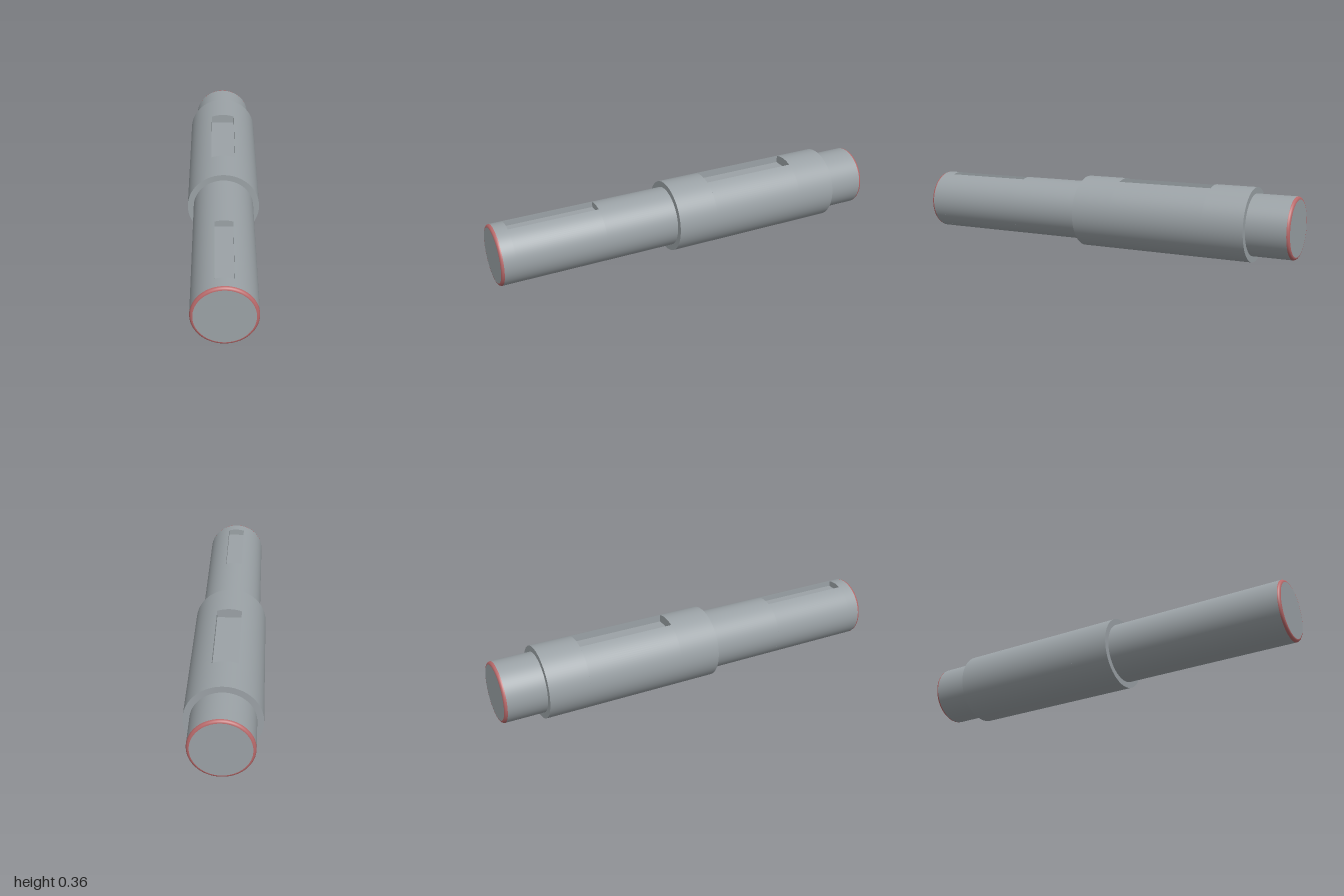
import * as THREE from 'three';

const steel = new THREE.MeshStandardMaterial({ color: 0x9ba2a6 });
steel.name = 'steel grey';
const red = new THREE.MeshStandardMaterial({ color: 0xb8696a });
red.name = 'edge red';

const SEG = 96, AXIS = 0.179, R_BIG = 0.179, R_SMALL = 0.149, FILLET = 0.0135;
const SHOULDER_FRONT = 0.103, SHOULDER_BACK = -0.792;

export function createModel() {
  const model = new THREE.Group();
  model.name = 'steppedShaft';
  const shaft = new THREE.Group();
  shaft.name = 'shaft';
  shaft.position.y = AXIS; // everything below is built around the shaft axis
  model.add(shaft);

  const add = (name, geometry, material = steel, parent = shaft) => {
    const mesh = new THREE.Mesh(geometry, material);
    mesh.name = name;
    parent.add(mesh);
    return mesh;
  };

  // Open tube wall along z, with an optional gap at the top of half-angle gap
  const wall = (name, r, z0, z1, gap = 0) => {
    const g = new THREE.CylinderGeometry(r, r, z1 - z0, SEG, 1, true, Math.PI + gap, 2 * Math.PI - 2 * gap);
    g.rotateX(Math.PI / 2).translate(0, 0, (z0 + z1) / 2);
    add(name, g);
  };

  // Shaft section from z0 to z1 with a square-ended keyway cut into its top
  const keyedSection = (name, r, z0, z1, k0, k1, half, floorY) => {
    const gap = Math.asin(half / r);
    const edgeY = r * Math.cos(gap);
    const length = k1 - k0, mid = (k0 + k1) / 2, depth = edgeY - floorY;
    wall(name + 'Back', r, z0, k0);
    wall(name + 'Middle', r, k0, k1, gap);
    wall(name + 'Front', r, k1, z1);

    const slot = new THREE.Group();
    slot.name = name + 'Keyway';
    shaft.add(slot);
    add('keywayFloor', new THREE.PlaneGeometry(half * 2, length).rotateX(-Math.PI / 2)
      .translate(0, floorY, mid), steel, slot);
    for (const s of [-1, 1]) {
      add('keywaySide', new THREE.PlaneGeometry(length, depth).rotateY(-s * Math.PI / 2)
        .translate(s * half, floorY + depth / 2, mid), steel, slot);
      // end wall: rectangle topped by the shaft's arc
      const shape = new THREE.Shape();
      shape.moveTo(-half, floorY);
      shape.lineTo(half, floorY);
      shape.lineTo(half, edgeY);
      shape.absarc(0, 0, r, Math.PI / 2 - gap, Math.PI / 2 + gap, false);
      shape.closePath();
      const g = new THREE.ShapeGeometry(shape, 16);
      if (s > 0) g.rotateY(Math.PI);
      add('keywayEnd', g.translate(0, 0, s > 0 ? k1 : k0), steel, slot);
    }
  };

  // Three shaft sections
  keyedSection('frontJournal', R_SMALL, SHOULDER_FRONT, 1 - FILLET, 0.476, 0.926, 0.043, 0.116);
  keyedSection('mainBody', R_BIG, SHOULDER_BACK, SHOULDER_FRONT, -0.587, -0.104, 0.061, 0.133);
  wall('rearJournal', R_SMALL, -1 + FILLET, SHOULDER_BACK);

  // Shoulder faces, end faces and rounded end edges
  const profile = [];
  for (let i = 0; i <= 6; i++) {
    const a = (i / 6) * Math.PI / 2;
    profile.push(new THREE.Vector2(R_SMALL - FILLET + FILLET * Math.cos(a), 1 - FILLET + FILLET * Math.sin(a)));
  }
  for (const [side, turn, shoulderZ] of [['front', 0, SHOULDER_FRONT], ['rear', Math.PI, -SHOULDER_BACK]]) {
    add(side + 'Shoulder', new THREE.RingGeometry(R_SMALL, R_BIG, SEG).translate(0, 0, shoulderZ).rotateY(turn));
    add(side + 'EndFace', new THREE.CircleGeometry(R_SMALL - FILLET, SEG).translate(0, 0, 1).rotateY(turn));
    add(side + 'EndEdge', new THREE.LatheGeometry(profile, SEG).rotateX(Math.PI / 2).rotateY(turn), red);
  }
  return model;
}
